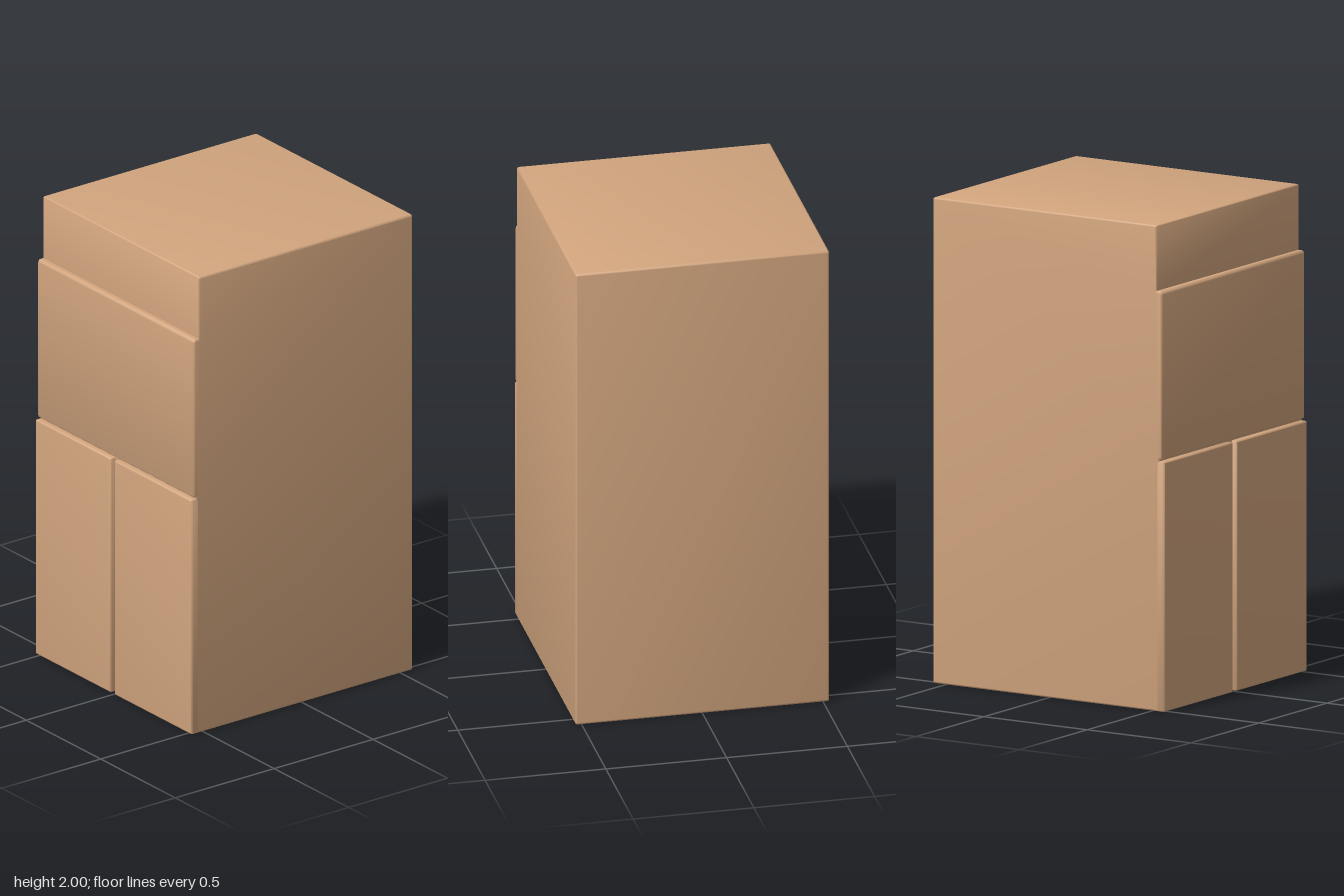
import * as THREE from 'three';
import { toCreasedNormals } from 'three/addons/utils/BufferGeometryUtils.js';

const BEVEL = 0.008;
const HALF_WIDTH = 0.525;

// Closed outline; each corner is [x, y, radius]
function roundedShape(corners) {
  const shape = new THREE.Shape();
  const n = corners.length;
  corners.forEach(([x, y, r], i) => {
    const p = new THREE.Vector2(x, y);
    const toward = (c) => new THREE.Vector2(c[0], c[1]).sub(p).setLength(r).add(p);
    const a = toward(corners[(i + n - 1) % n]);
    const b = toward(corners[(i + 1) % n]);
    if (i === 0) shape.moveTo(a.x, a.y);
    else shape.lineTo(a.x, a.y);
    if (r > 0) shape.quadraticCurveTo(x, y, b.x, b.y);
  });
  shape.closePath();
  return shape;
}

// Extrusion from z = 0 to z = depth whose bevels stay inside the outline
function softExtrude(shape, depth) {
  const geometry = new THREE.ExtrudeGeometry(shape, {
    depth: depth - 2 * BEVEL,
    curveSegments: 4,
    bevelEnabled: true,
    bevelSize: BEVEL,
    bevelThickness: BEVEL,
    bevelOffset: -BEVEL,
    bevelSegments: 3,
  });
  geometry.translate(0, 0, BEVEL);
  return toCreasedNormals(geometry, 0.7);
}

export function createModel() {
  const group = new THREE.Group();
  group.name = 'cabinet';
  const material = new THREE.MeshStandardMaterial({ color: 0xd2a57e });

  const add = (name, geometry) => {
    const mesh = new THREE.Mesh(geometry, material);
    mesh.name = name;
    group.add(mesh);
  };

  // Body with top band and drawer front: side profile (z, y) swept across the width
  const profile = roundedShape([
    [-0.56, 0, 0.01],
    [0.535, 0, 0.01],
    [0.535, 1.037, 0],
    [0.548, 1.037, 0.01],
    [0.548, 1.73, 0.014],
    [0.522, 1.73, 0],
    [0.522, 2, 0.01],
    [-0.56, 2, 0.01],
  ]);
  const body = softExtrude(profile, 2 * HALF_WIDTH);
  body.rotateY(-Math.PI / 2);
  body.translate(HALF_WIDTH, 0, 0);
  add('body', body);

  // Two lower doors with a narrow gap between them
  const doors = [
    ['rightDoor', -HALF_WIDTH, -0.018],
    ['leftDoor', 0.006, HALF_WIDTH],
  ];
  for (const [name, x0, x1] of doors) {
    const r = 0.009;
    const door = softExtrude(roundedShape([[x0, 0, r], [x1, 0, r], [x1, 1.03, r], [x0, 1.03, r]]), 0.06);
    door.translate(0, 0, 0.5);
    add(name, door);
  }

  return group;
}
